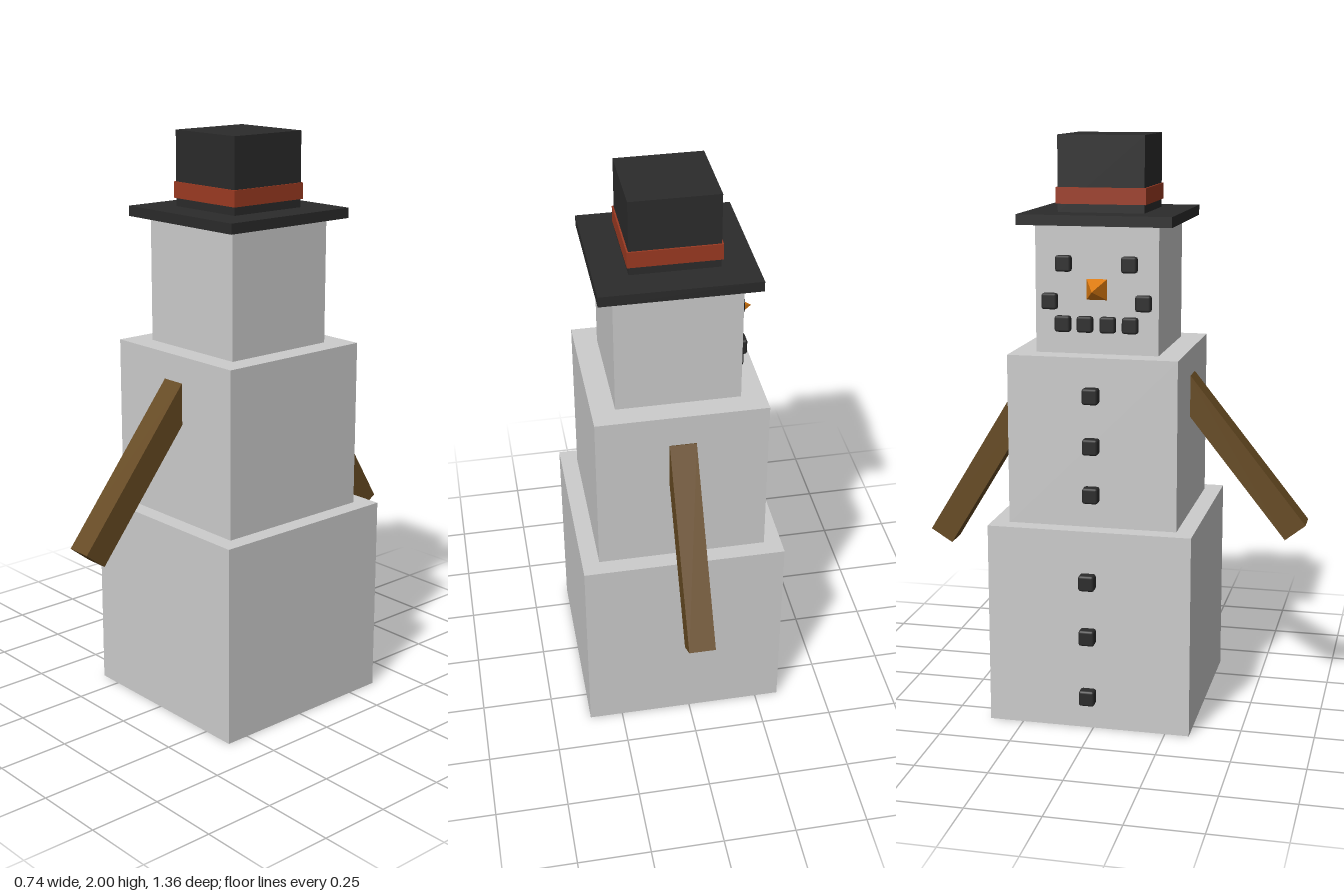
import * as THREE from 'three';
import { RoundedBoxGeometry } from 'three/addons/geometries/RoundedBoxGeometry.js';

const CX = 0.017, CZ = -0.017; // axis of the stacked body

export function createModel() {
  const model = new THREE.Group();
  model.name = 'snowman';

  const mat = (name, color) => {
    const m = new THREE.MeshStandardMaterial({ color });
    m.name = name;
    return m;
  };
  const snow = mat('snow', 0xcccccc);
  const black = mat('black', 0x2b2b2b);
  const red = mat('band red', 0x9c3a22);
  const wood = mat('wood', 0x664a22);
  const orange = mat('carrot orange', 0xdb7a10);

  const add = (name, geometry, material, x, y, z) => {
    const mesh = new THREE.Mesh(geometry, material);
    mesh.name = name;
    mesh.position.set(x, y, z);
    model.add(mesh);
    return mesh;
  };

  // Square blocks stacked on the body axis: body and hat
  const block = (name, size, y0, y1, material) =>
    add(name, new THREE.BoxGeometry(size, y1 - y0, size), material, CX, (y0 + y1) / 2, CZ);
  block('lowerBody', 0.7, 0, 0.7, snow);
  block('middleBody', 0.58, 0.7, 1.28, snow);
  block('head', 0.42, 1.28, 1.71, snow);
  block('hatBrim', 0.524, 1.71, 1.745, black);
  block('hatCrown', 0.296, 1.745, 2, black);
  block('hatBand', 0.307, 1.773, 1.828, red);

  // Coal lumps on the -x side, partly sunk into the snow
  const lump = new RoundedBoxGeometry(0.054, 0.054, 0.054, 1, 0.008);
  const coal = (name, front, y, dz) => add(name, lump, black, front + 0.027, y, CZ + dz);
  for (const y of [0.116, 0.333, 0.527]) coal('lowerButton', -0.369, y, 0);
  for (const y of [0.815, 0.982, 1.154]) coal('middleButton', -0.309, y, 0);
  for (const side of [-1, 1]) {
    coal('eye', -0.215, 1.582, side * 0.112);
    coal('mouthCorner', -0.215, 1.455, side * 0.16);
    coal('mouth', -0.215, 1.38, side * 0.115);
    coal('mouth', -0.215, 1.38, side * 0.039);
  }

  // Four-sided carrot nose, tip towards -x
  const carrot = new THREE.ConeGeometry(0.05, 0.075, 4, 1).toNonIndexed();
  carrot.rotateY(Math.PI / 4).rotateZ(Math.PI / 2);
  carrot.computeVertexNormals();
  add('nose', carrot, orange, -0.2295, 1.497, CZ);

  // Stick arms: from the free end (y, z) up towards the body
  const arm = (name, y, z, dy, dz) => {
    const length = 0.694;
    const dir = new THREE.Vector3(0, dy, dz).normalize();
    const mesh = add(name, new THREE.BoxGeometry(0.09, length, 0.09), wood,
      CX, y + dir.y * length / 2, z + dir.z * length / 2);
    mesh.rotation.x = Math.atan2(dir.z, dir.y);
  };
  arm('frontArm', 0.65, 0.645, 0.781, -0.624);
  arm('backArm', 0.558, -0.638, 0.855, 0.519);

  return model;
}
